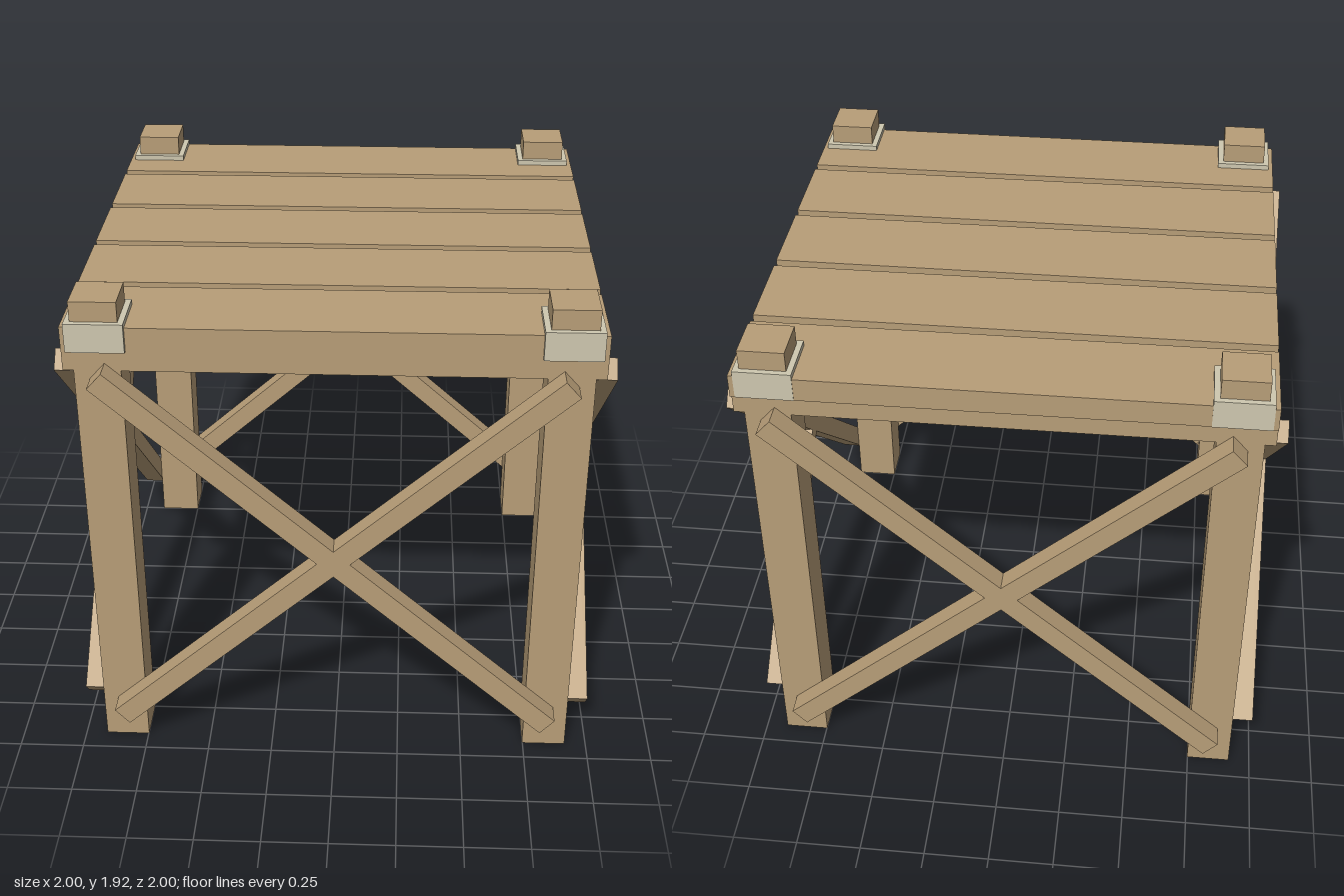
import * as THREE from 'three';

export function createModel() {
  const model = new THREE.Group();
  model.name = 'woodenPlatform';
  const wood = new THREE.MeshStandardMaterial({ color: 0xb89e78 });
  wood.name = 'wood';
  const rope = new THREE.MeshStandardMaterial({ color: 0xcfc8b0 });
  rope.name = 'paleBinding';

  const box = (name, w, h, d, x, y, z, material = wood, parent = model) => {
    const mesh = new THREE.Mesh(new THREE.BoxGeometry(w, h, d), material);
    mesh.name = name;
    mesh.position.set(x, y, z);
    parent.add(mesh);
    return mesh;
  };

  // Corner posts, each wrapped by a pale collar at deck height
  for (const x of [-0.832, 0.832]) {
    for (const z of [-0.832, 0.832]) {
      box('cornerPost', 0.168, 1.916, 0.168, x, 0.958, z);
      box('postCollar', 0.21, 0.11, 0.21, x, 1.785, z, rope);
    }
  }

  // Five deck planks with narrow gaps
  for (let i = 0; i < 5; i++) {
    box('deckPlank', 1.91, 0.09, 0.34, 0, 1.775, 0.749 - i * 0.3785);
  }

  // Beams under the front and back planks
  for (const z of [-0.832, 0.832]) {
    box('deckBeam', 1.91, 0.085, 0.168, 0, 1.6925, z);
  }

  // Crossed braces on all four sides
  const rise = 1.495, run = 1.665;
  const length = Math.hypot(rise, run);
  for (let side = 0; side < 4; side++) {
    const cross = new THREE.Group();
    cross.name = 'crossBrace';
    for (const s of [-1, 1]) {
      const brace = box('diagonalBrace', length, 0.082, 0.084, 0, 0.902, 0.958, wood, cross);
      brace.rotation.z = s * Math.atan2(rise, run);
    }
    cross.rotation.y = side * Math.PI / 2;
    model.add(cross);
  }
  return model;
}
